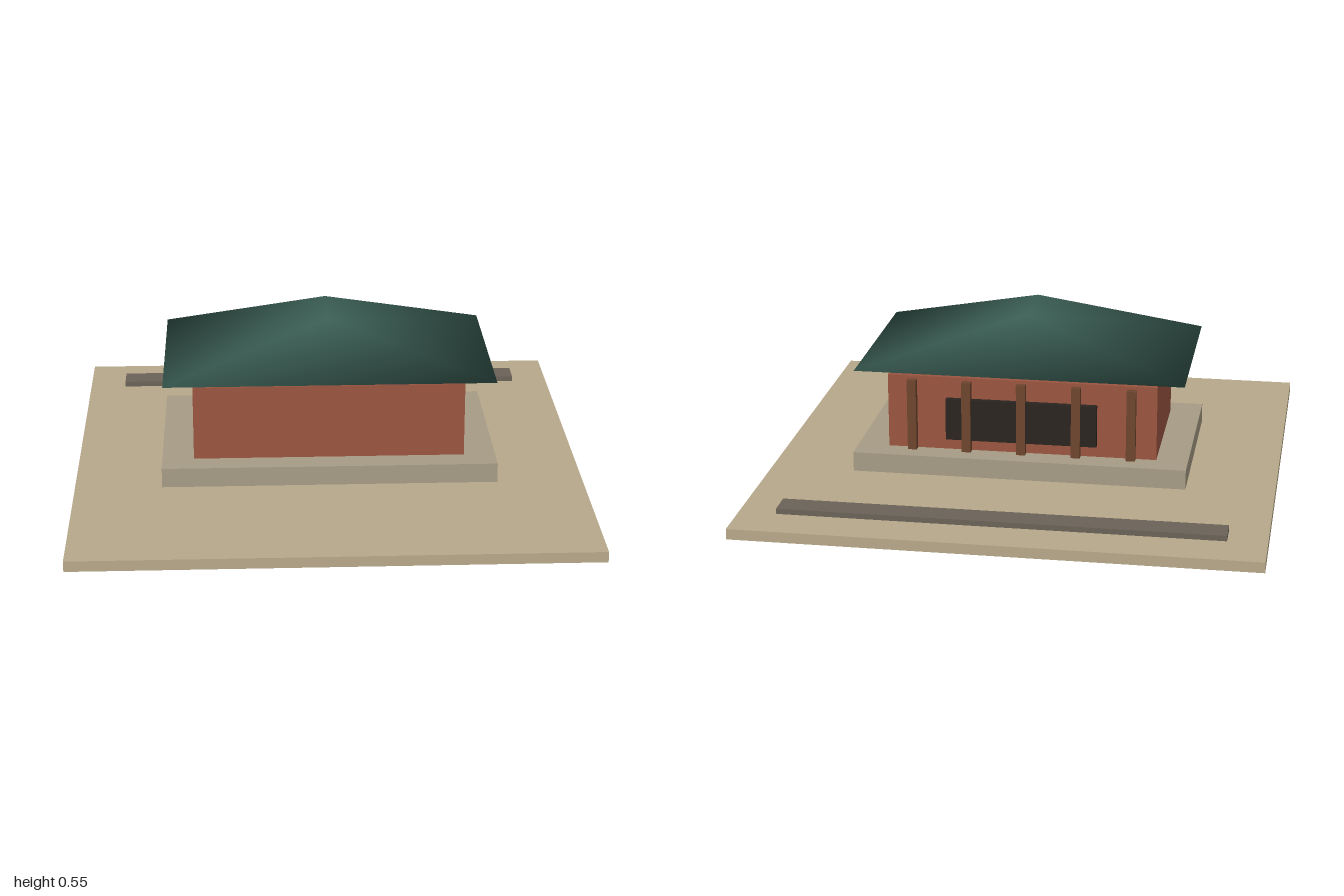
import * as THREE from 'three';

const material = (color) => new THREE.MeshStandardMaterial({ color });

// Box standing on y = bottom, centred on (x, z)
function block(name, [w, h, d], [x, bottom, z], mat) {
  const mesh = new THREE.Mesh(new THREE.BoxGeometry(w, h, d), mat);
  mesh.name = name;
  mesh.position.set(x, bottom + h / 2, z);
  return mesh;
}

// Closed hipped roof: eaves rectangle plus a short ridge running front to back
function hippedRoof(width, depth, height, ridge) {
  const a = width / 2, b = depth / 2, r = ridge / 2;
  const geometry = new THREE.BufferGeometry();
  geometry.setAttribute('position', new THREE.Float32BufferAttribute([
    -a, 0, -b, a, 0, -b, a, 0, b, -a, 0, b, // eaves corners
    0, height, -r, 0, height, r, // ridge ends
  ], 3));
  geometry.setIndex([
    3, 2, 5, 1, 0, 4, // front and back
    0, 3, 4, 3, 5, 4, // right-hand slope
    2, 1, 5, 1, 4, 5, // left-hand slope
    0, 1, 2, 0, 2, 3, // soffit
  ]);
  geometry.computeVertexNormals();
  return geometry;
}

export function createModel() {
  const model = new THREE.Group();
  model.name = 'pavilion';
  const building = new THREE.Group();
  building.name = 'building';
  building.rotation.y = -0.2196; // the whole plot is turned slightly
  model.add(building);

  const timber = material(0x6e452e);

  // Plot, path behind the house, plinth and walls
  building.add(
    block('ground', [1.675, 0.035, 1.675], [0, 0, 0], material(0xb8a98a)),
    block('path', [1.424, 0.018, 0.086], [0, 0.039, -0.66], material(0x6b6358)),
    block('plinth', [1.1, 0.065, 0.65], [0, 0.05, 0], material(0xa69c86)),
    block('walls', [0.892, 0.25, 0.487], [0, 0.115, 0], material(0x9c5640)),
    block('window', [0.5, 0.14, 0.02], [0, 0.155, -0.255], material(0x2a2420)),
  );

  // Timber posts along the back wall
  for (let i = -2; i <= 2; i++) {
    building.add(block('post', [0.03, 0.24, 0.024], [i * 0.1815, 0.115, -0.257], timber));
  }

  // Roof floating just above the walls
  const roof = new THREE.Mesh(hippedRoof(1.081, 0.656, 0.153, 0.226), material(0x3b5f55));
  roof.name = 'roof';
  roof.position.y = 0.4;
  building.add(roof);

  return model;
}
